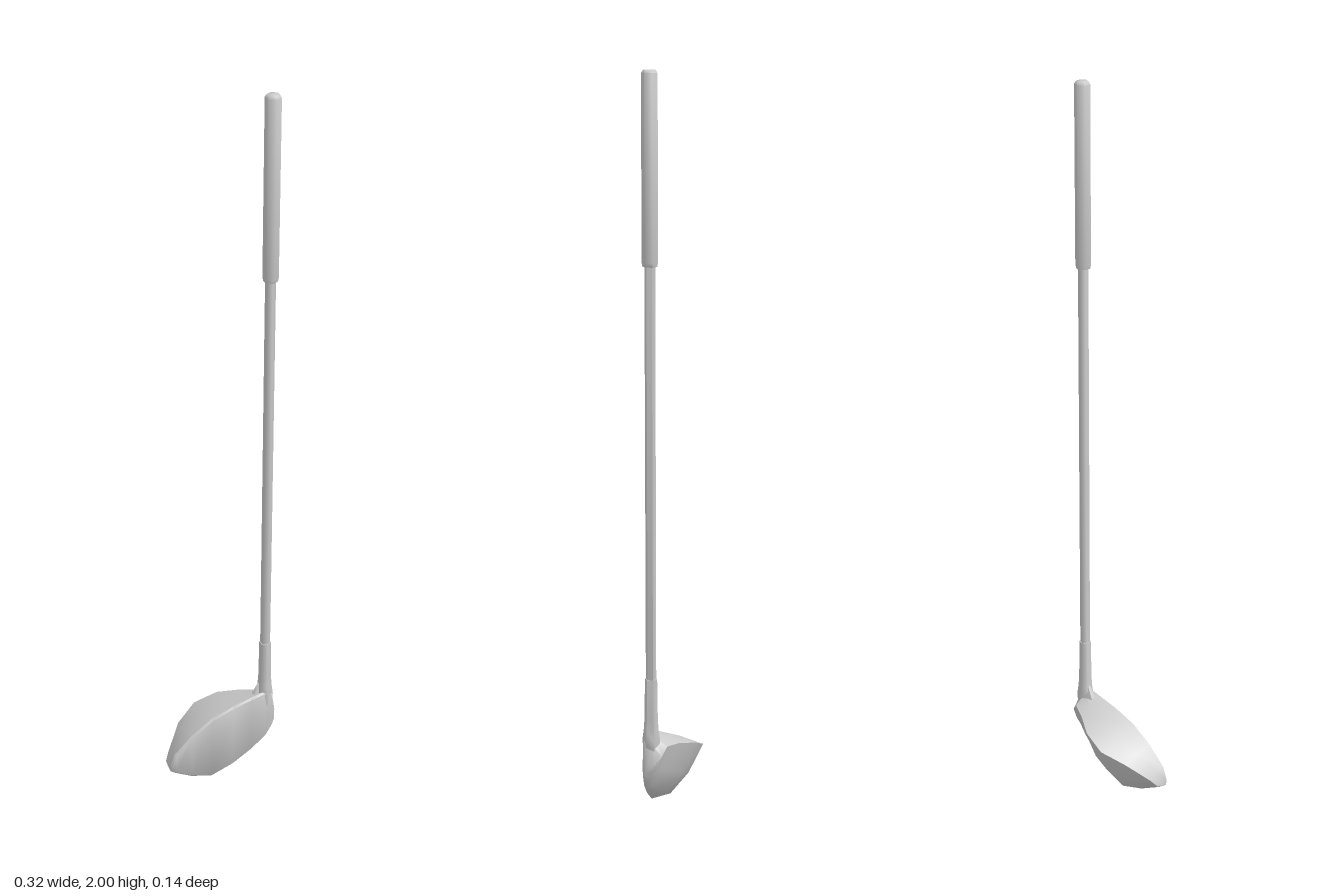
import * as THREE from 'three';
import { toCreasedNormals } from 'three/addons/utils/BufferGeometryUtils.js';

const AXIS_X = 0.133, AXIS_Z = 0.047, FACE_Z = 0.062;
const lerp = THREE.MathUtils.lerp;

// Toe to heel: x, face top, face bottom, back ridge height, back ridge z
const STATIONS = [
  [-0.160, 0.075, 0.055, 0.066, 0.025],
  [-0.147, 0.110, 0.046, 0.085, 0.011],
  [-0.097, 0.160, 0.020, 0.138, -0.039],
  [-0.035, 0.203, 0.004, 0.170, -0.072],
  [0.030, 0.228, 0.028, 0.198, -0.059],
  [0.085, 0.243, 0.062, 0.216, -0.022],
  [0.130, 0.254, 0.098, 0.222, 0.004],
  [0.150, 0.242, 0.130, 0.200, 0.015],
  [0.158, 0.185, 0.152, 0.170, 0.040],
];

// Closed cross-section of the head: face, crown, ridge, sole
function section([x, top, bottom, ridgeY, ridgeZ]) {
  const inset = Math.min(0.006, (top - bottom) * 0.25);
  const crownLift = 0.08 * (top - ridgeY);
  return [
    [x, bottom, FACE_Z],
    [x * 0.98, bottom + inset, 0.067],
    [x * 0.98, top - inset, 0.067],
    [x, top, FACE_Z],
    [x, lerp(top, ridgeY, 0.45) + crownLift, lerp(FACE_Z, ridgeZ, 0.5)],
    [x, ridgeY, ridgeZ],
    [x, lerp(bottom, ridgeY, 0.48), lerp(FACE_Z, ridgeZ, 0.7)],
    [x, lerp(bottom, ridgeY, 0.09), lerp(FACE_Z, ridgeZ, 0.32)],
  ];
}

function headGeometry() {
  const rings = STATIONS.map(section);
  const n = rings[0].length, index = [];
  for (let i = 0; i < rings.length - 1; i++) {
    for (let j = 0; j < n; j++) {
      const k = (j + 1) % n;
      const a = i * n + j, b = a + n, c = (i + 1) * n + k, d = i * n + k;
      index.push(a, b, c, a, c, d);
    }
  }
  // Close the toe and the heel
  const last = (rings.length - 1) * n;
  for (let j = 1; j < n - 1; j++) {
    index.push(0, j, j + 1, last, last + j + 1, last + j);
  }
  const geometry = new THREE.BufferGeometry();
  geometry.setAttribute('position', new THREE.Float32BufferAttribute(rings.flat(2), 3));
  geometry.setIndex(index);
  return toCreasedNormals(geometry, 0.75);
}

// Six-sided turned part on the shaft axis, profile from bottom to top
function turned(profile) {
  const points = profile.map(([r, y]) => new THREE.Vector2(r, y));
  const geometry = toCreasedNormals(new THREE.LatheGeometry(points, 6), 1.1);
  return geometry.translate(AXIS_X, 0, AXIS_Z);
}

export function createModel() {
  const model = new THREE.Group();
  model.name = 'golfClub';
  const material = new THREE.MeshStandardMaterial({ color: 0xcccccc });
  const add = (name, geometry) => {
    const mesh = new THREE.Mesh(geometry, material);
    mesh.name = name;
    model.add(mesh);
  };

  add('head', headGeometry());

  // Neck flares into the crown of the head
  add('neck', turned([[0.02, 0.2], [0.024, 0.24], [0.02, 0.27], [0.018, 0.3], [0.0165, 0.412], [0, 0.412]]));
  add('shaft', turned([[0.014, 0.40], [0.014, 1.52]]));
  add('grip', turned([[0, 1.51], [0.019, 1.51], [0.021, 1.52], [0.021, 1.992], [0.016, 2], [0, 2]]));

  // Sloping fillet from the neck down to the crown, toe side
  const fillet = new THREE.CylinderGeometry(0.012, 0.03, 0.05, 6);
  const p = fillet.attributes.position;
  for (let i = 0; i < p.count; i++) {
    if (p.getY(i) < 0) p.setX(i, p.getX(i) - 0.01);
  }
  fillet.scale(1, 1, 0.6).translate(AXIS_X - 0.006, 0.25, AXIS_Z - 0.003);
  add('neckFillet', toCreasedNormals(fillet, 1.1));

  return model;
}
